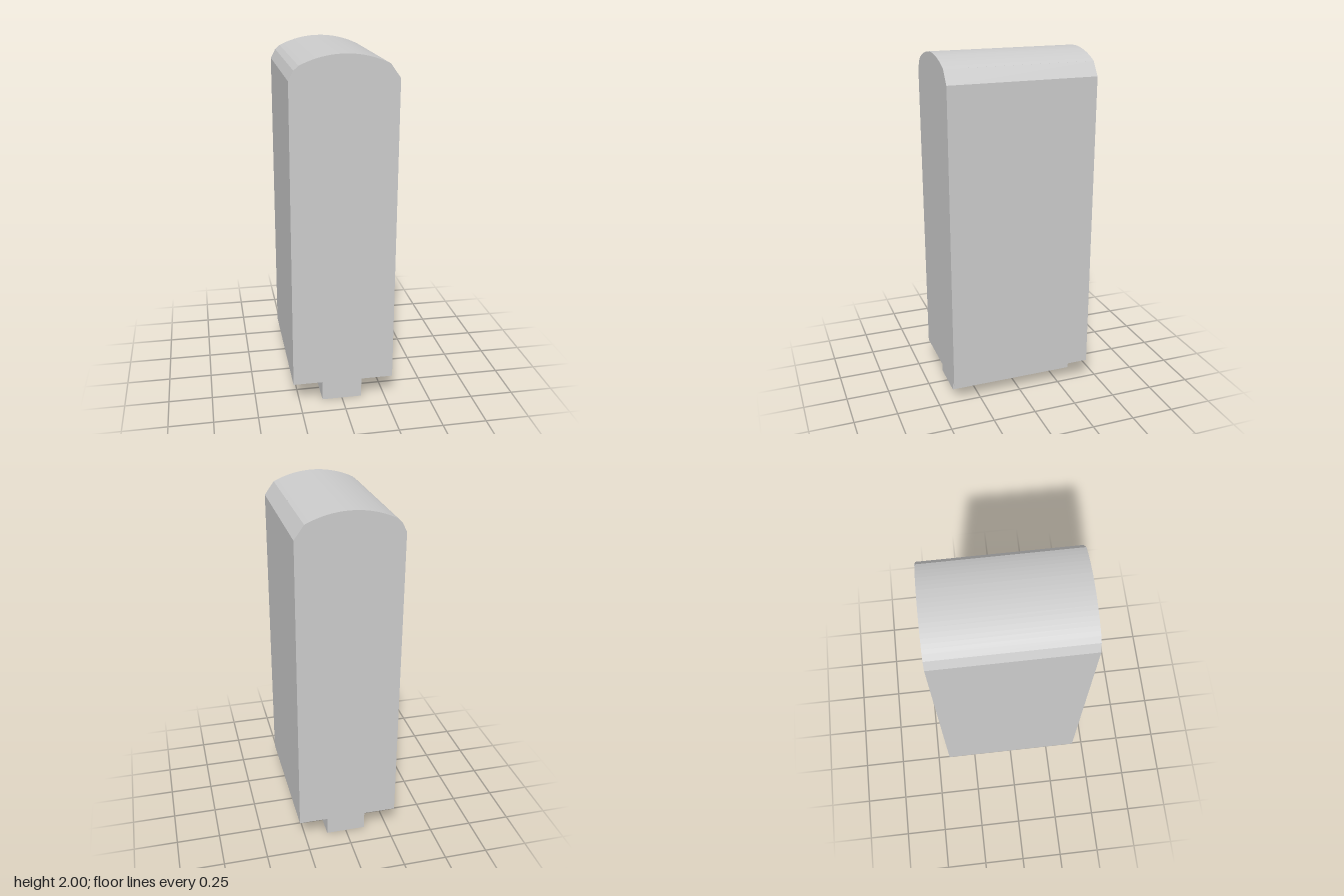
import * as THREE from 'three';

const DEPTH = 0.84;

export function createModel() {
  const model = new THREE.Group();
  const material = new THREE.MeshStandardMaterial({ color: 0xcccccc, flatShading: true });

  // Upright slab with an arched top and chamfered shoulders
  const radius = 0.53;
  const half = Math.asin(0.235 / radius);
  const outline = new THREE.Shape();
  outline.moveTo(-0.289, 0.14);
  outline.lineTo(0.289, 0.14);
  outline.lineTo(0.289, 1.87);
  outline.lineTo(0.235, 1.945);
  outline.absarc(0, 2 - radius, radius, Math.PI / 2 - half, Math.PI / 2 + half, false);
  outline.lineTo(-0.262, 1.922);
  outline.lineTo(-0.289, 1.87);
  outline.closePath();
  const bodyGeometry = new THREE.ExtrudeGeometry(outline, {
    depth: DEPTH, bevelEnabled: false, curveSegments: 10,
  });
  bodyGeometry.translate(0, 0, -DEPTH / 2);
  const body = new THREE.Mesh(bodyGeometry, material);
  body.name = 'body';
  model.add(body);

  // Narrow block that the slab stands on
  const foot = new THREE.Mesh(new THREE.BoxGeometry(0.23, 0.14, 0.76), material);
  foot.position.y = 0.07;
  foot.name = 'foot';
  model.add(foot);

  return model;
}
